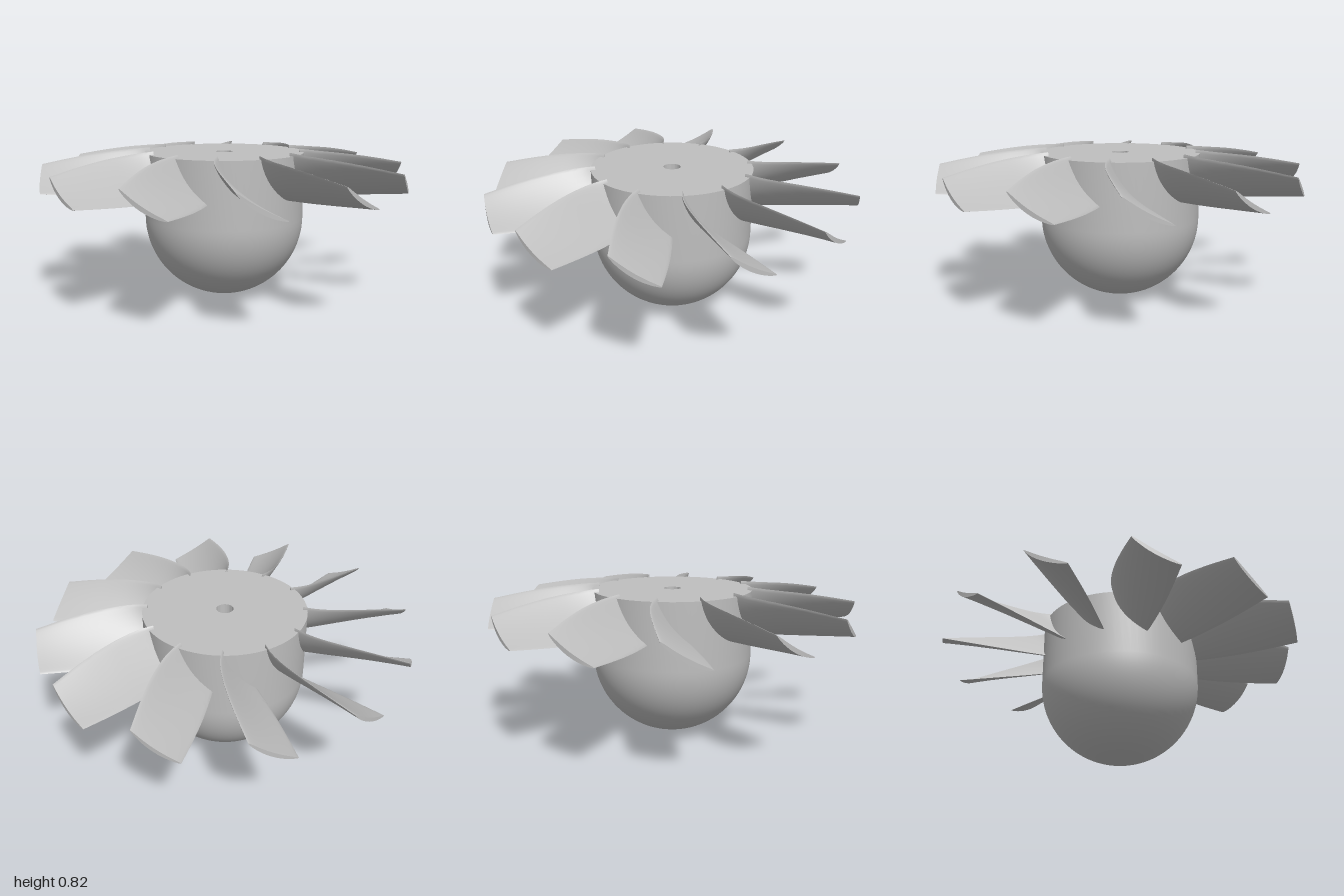
import * as THREE from 'three';
import { toCreasedNormals } from 'three/addons/utils/BufferGeometryUtils.js';

const HUB_RADIUS = 0.44;
const HUB_TOP = 0.8;
const BLADES = 12;

// Blade stations from root to tip: radius, upper edge (x, y), lower edge (x, y), camber
const STATIONS = [
  [0.415, -0.120, 0.818, 0.050, 0.574, 0.034],
  [0.480, -0.146, 0.812, 0.056, 0.575, 0.032],
  [0.570, -0.166, 0.803, 0.063, 0.577, 0.029],
  [0.700, -0.176, 0.788, 0.070, 0.583, 0.025],
  [0.850, -0.173, 0.764, 0.072, 0.593, 0.021],
  [1.000, -0.163, 0.735, 0.070, 0.605, 0.017],
];

// Solid bowl with a flat top and a small bore
function hubGeometry() {
  const profile = [];
  for (let i = 0; i <= 24; i++) {
    const a = (i / 24) * Math.PI / 2;
    profile.push(new THREE.Vector2(HUB_RADIUS * Math.sin(a), HUB_RADIUS * (1 - Math.cos(a))));
  }
  for (const [r, y] of [[HUB_RADIUS, HUB_TOP], [0.046, HUB_TOP], [0.046, 0.5], [0, 0.5]]) {
    profile.push(new THREE.Vector2(r, y));
  }
  return toCreasedNormals(new THREE.LatheGeometry(profile, 72), 0.6);
}

// Twisted, cambered blade lofted along +z
function bladeGeometry() {
  const M = 14, N = 2 * M, rings = 24;
  const curves = [1, 3].map((k) => new THREE.CatmullRomCurve3(
    STATIONS.map((s) => new THREE.Vector3(s[k], s[k + 1], s[0]))));
  const pos = [], idx = [];
  for (let r = 0; r <= rings; r++) {
    const f = r / rings;
    const a = curves[0].getPoint(f), b = curves[1].getPoint(f);
    const camber = THREE.MathUtils.lerp(STATIONS[0][5], STATIONS[5][5], f);
    const dx = b.x - a.x, dy = b.y - a.y, len = Math.hypot(dx, dy);
    for (let j = 0; j < N; j++) {
      const upper = j <= M;
      const t = (1 - Math.cos(Math.PI * (upper ? j : N - j) / M)) / 2;
      const half = 0.011 * Math.sqrt(Math.max(0, Math.sin(Math.PI * t)));
      const off = -4 * camber * t * (1 - t) + (upper ? half : -half);
      const x = a.x + dx * t - (dy / len) * off;
      const y = a.y + dy * t + (dx / len) * off;
      pos.push(x, y, Math.sqrt(a.z * a.z - x * x)); // ends follow a cylinder
    }
  }
  for (let r = 0; r < rings; r++) {
    for (let j = 0; j < N; j++) {
      const k = (j + 1) % N, p = r * N, q = p + N;
      idx.push(p + j, q + k, p + k, p + j, q + j, q + k);
    }
  }
  // Root and tip caps
  const tri = (o, flip, a, b, c) => {
    if (a !== b && b !== c && a !== c) idx.push(o + a, o + (flip ? c : b), o + (flip ? b : c));
  };
  for (const [o, flip] of [[0, true], [rings * N, false]]) {
    for (let i = 0; i < M; i++) {
      const l0 = (N - i) % N, l1 = N - i - 1;
      tri(o, flip, l0, l1, i + 1);
      tri(o, flip, l0, i + 1, i);
    }
  }
  const geo = new THREE.BufferGeometry();
  geo.setAttribute('position', new THREE.Float32BufferAttribute(pos, 3));
  geo.setIndex(idx);
  return toCreasedNormals(geo, 0.8);
}

export function createModel() {
  const grey = new THREE.MeshStandardMaterial({ color: 0xbfbfbf });
  grey.name = 'plain grey';

  const model = new THREE.Group();
  model.name = 'fanRotor';

  const hub = new THREE.Mesh(hubGeometry(), grey);
  hub.name = 'hub';
  model.add(hub);

  // Ring of identical blades
  const blades = new THREE.Group();
  blades.name = 'blades';
  const geo = bladeGeometry();
  for (let i = 0; i < BLADES; i++) {
    const blade = new THREE.Mesh(geo, grey);
    blade.name = `blade${i + 1}`;
    blade.rotation.y = (i / BLADES) * Math.PI * 2;
    blades.add(blade);
  }
  model.add(blades);
  return model;
}
